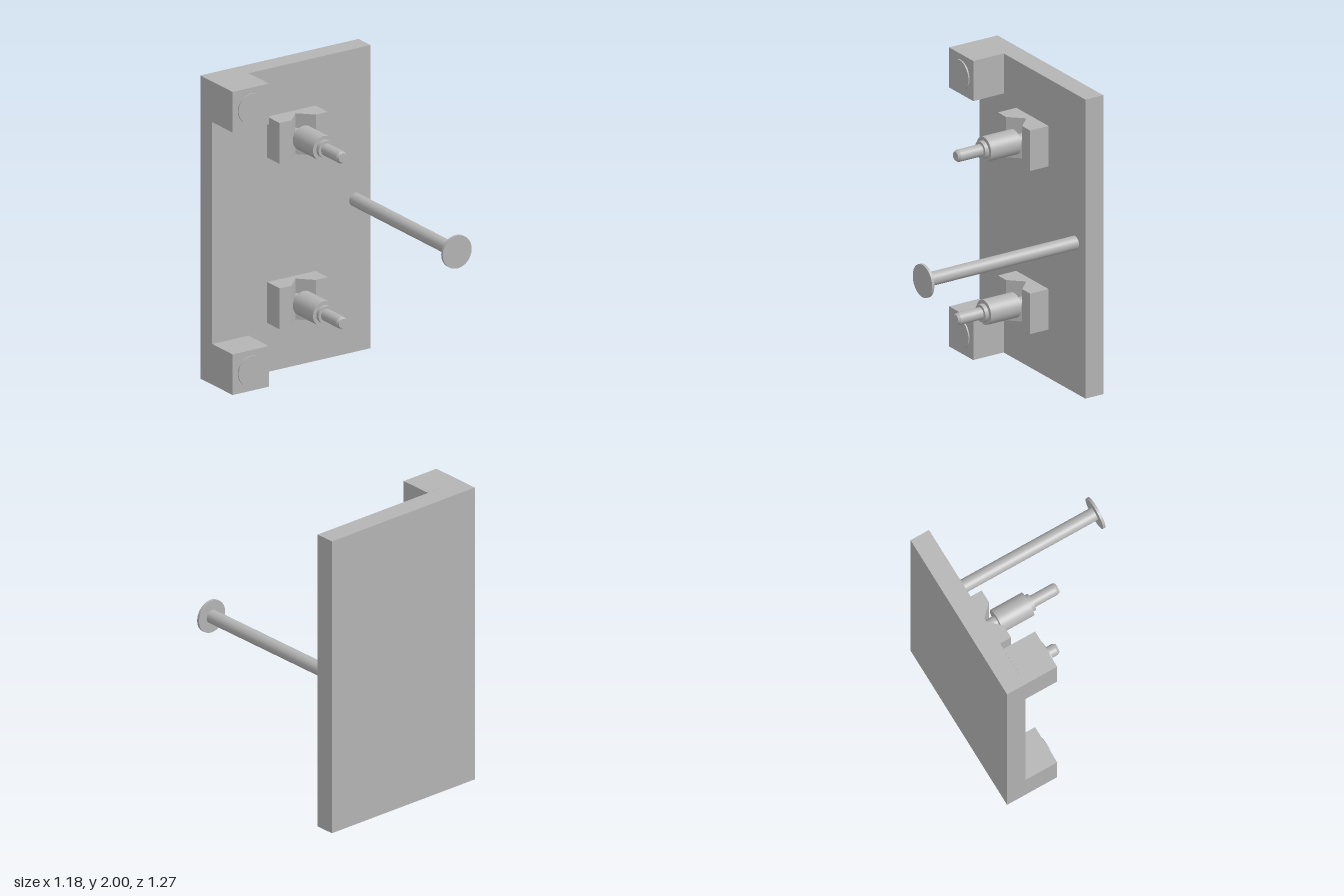
import * as THREE from 'three';

const grey = new THREE.MeshStandardMaterial({ color: 0xb4b4b4 });
grey.name = 'plain grey';

export function createModel() {
  const model = new THREE.Group();
  model.name = 'plateFixture';

  const add = (name, geometry, x, y, z, parent = model) => {
    const mesh = new THREE.Mesh(geometry, grey);
    mesh.name = name;
    mesh.position.set(x, y, z);
    parent.add(mesh);
    return mesh;
  };

  // Box spanning z0..z1, centred on x, y
  const box = (name, w, h, z0, z1, x, y, parent) =>
    add(name, new THREE.BoxGeometry(w, h, z1 - z0), x, y, (z0 + z1) / 2, parent);

  // Round bar along z, spanning z0..z1, with back radius r and front radius rFront
  const bar = (name, r, z0, z1, x, y, parent, rFront = r) =>
    add(name, new THREE.CylinderGeometry(rFront, r, z1 - z0, 48).rotateX(Math.PI / 2),
      x, y, (z0 + z1) / 2, parent);

  // Upright plate
  box('backPlate', 1.18, 2, -0.635, -0.502, 0, 1);

  // Corner blocks with round contact pads
  for (const [side, y] of [['upper', 1.867], ['lower', 0.135]]) {
    const corner = new THREE.Group();
    corner.name = side + 'CornerBlock';
    model.add(corner);
    box('block', 0.27, 0.268, -0.502, -0.275, -0.455, y, corner);
    bar('padNeck', 0.085, -0.275, -0.271, -0.455, y, corner);
    bar('pad', 0.099, -0.271, -0.262, -0.455, y, corner);
  }

  // Vee profile seen from above, drawn as (x, -z)
  const vee = new THREE.Shape([
    [-0.18, 0.457], [-0.18, 0.365], [-0.09, 0.365], [0, 0.456],
    [0.09, 0.365], [0.18, 0.365], [0.18, 0.457],
  ].map(([x, y]) => new THREE.Vector2(x, y)));
  const veeGeometry = new THREE.ExtrudeGeometry(vee, { depth: 0.27, bevelEnabled: false })
    .translate(0, 0, -0.135).rotateX(-Math.PI / 2);

  // Vee blocks, each with a stepped pin
  for (const [side, y] of [['upper', 1.55], ['lower', 0.459]]) {
    const clamp = new THREE.Group();
    clamp.name = side + 'VeeClamp';
    model.add(clamp);
    box('veeBase', 0.36, 0.27, -0.502, -0.457, 0, y, clamp);
    add('veeJaws', veeGeometry, 0, y, 0, clamp);
    bar('pinStem', 0.04, -0.457, -0.365, 0, y, clamp);
    bar('pinBody', 0.081, -0.365, -0.14, 0, y, clamp);
    bar('pinCollar', 0.057, -0.14, -0.113, 0, y, clamp);
    bar('pinShaft', 0.039, -0.113, 0.055, 0, y, clamp);
    bar('pinTip', 0.039, 0.055, 0.071, 0, y, clamp, 0.03);
  }

  // Long side rod with a flat round head
  bar('rod', 0.044, -0.502, 0.618, 0.475, 1.005);
  bar('rodHead', 0.108, 0.618, 0.635, 0.475, 1.005);

  return model;
}
